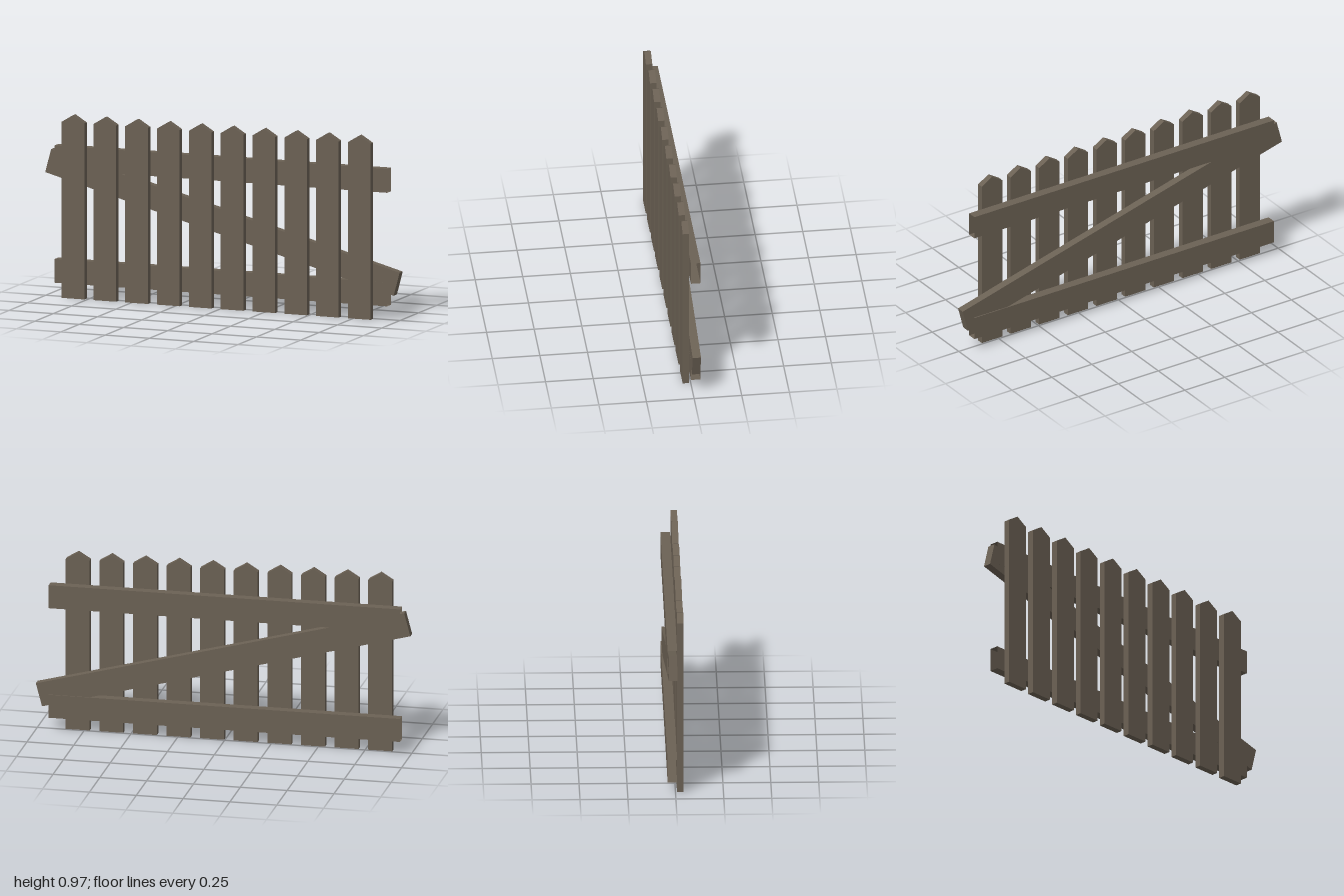
import * as THREE from 'three';

export function createModel() {
  const group = new THREE.Group();
  group.name = 'picketFence';

  const wood = new THREE.MeshStandardMaterial({ color: 0x6b6154, side: THREE.DoubleSide });
  wood.name = 'weatheredWood';

  const add = (name, geometry, x, y, z) => {
    const mesh = new THREE.Mesh(geometry, wood);
    mesh.name = name;
    mesh.position.set(x, y, z);
    group.add(mesh);
    return mesh;
  };

  // Pickets: flat boards with a pointed top
  const half = 0.064;
  const outline = new THREE.Shape([
    new THREE.Vector2(-half, 0),
    new THREE.Vector2(half, 0),
    new THREE.Vector2(half, 0.932),
    new THREE.Vector2(0, 0.971),
    new THREE.Vector2(-half, 0.932),
  ]);
  const picketGeometry = new THREE.ExtrudeGeometry(outline, { depth: 0.034, bevelEnabled: false });
  for (let i = 0; i < 10; i++) {
    add(`picket${i + 1}`, picketGeometry, -0.829 + i * 0.1795, 0, 0.008);
  }

  // Horizontal rails: boards left open at both ends (the first 12 box indices are the ends)
  const railGeometry = new THREE.BoxGeometry(1.876, 0.126, 0.05);
  railGeometry.setIndex(Array.from(railGeometry.index.array).slice(12));
  railGeometry.clearGroups();
  add('topRail', railGeometry, -0.008, 0.735, -0.017);
  add('bottomRail', railGeometry, -0.008, 0.134, -0.017);

  // Diagonal brace across the back, high at -x and low at +x
  const brace = add('diagonalBrace', new THREE.BoxGeometry(2.035, 0.128, 0.044), 0, 0.453, -0.0145);
  brace.rotation.z = -0.26;

  return group;
}
